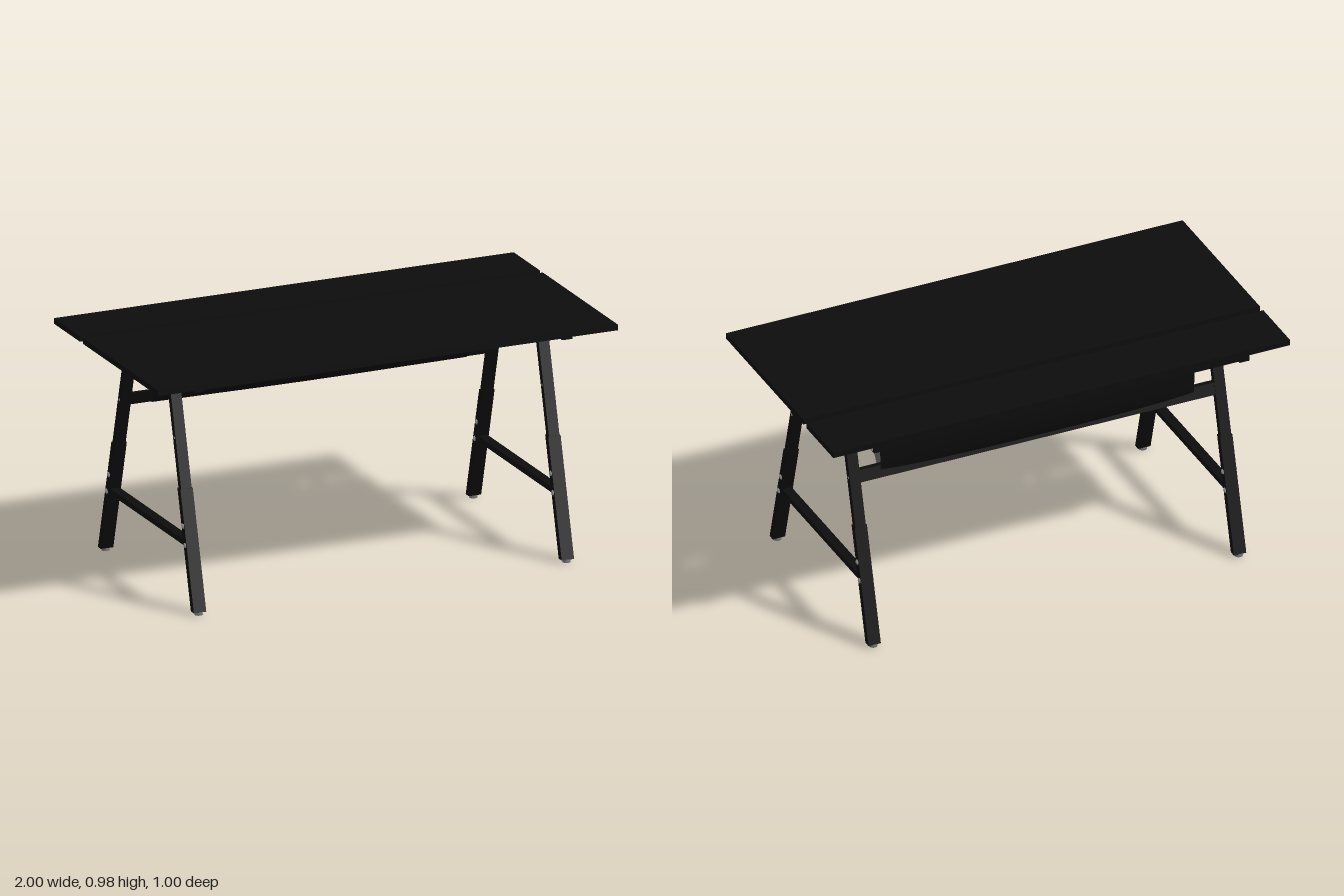
import * as THREE from 'three';

const black = new THREE.MeshStandardMaterial({ color: 0x0c0c0c });
black.name = 'black';
const fabric = new THREE.MeshStandardMaterial({ color: 0x0b0b0b, side: THREE.DoubleSide });
fabric.name = 'black fabric';
const steel = new THREE.MeshStandardMaterial({ color: 0xa0a0a0 });
steel.name = 'steel';
const footGrey = new THREE.MeshStandardMaterial({ color: 0x707070 });
footGrey.name = 'foot grey';

const SLOPE = 0.27; // outward lean of the legs
const legZ = (y) => 0.197 + (0.93 - y) * SLOPE;

export function createModel() {
  const model = new THREE.Group();
  model.name = 'trestleDesk';

  const add = (name, geometry, material, parent = model) => {
    const mesh = new THREE.Mesh(geometry, material);
    mesh.name = name;
    parent.add(mesh);
    return mesh;
  };

  // box given by its minimum and maximum on each axis
  const box = (name, x0, x1, y0, y1, z0, z1, parent) =>
    add(name, new THREE.BoxGeometry(x1 - x0, y1 - y0, z1 - z0)
      .translate((x0 + x1) / 2, (y0 + y1) / 2, (z0 + z1) / 2), black, parent);

  // upright box sheared along z to follow the lean of a leg
  const leaning = (name, x, y0, y1, width, depth, side, parent) => {
    const g = new THREE.BoxGeometry(width, y1 - y0, depth).translate(x, (y0 + y1) / 2, 0);
    const p = g.attributes.position;
    for (let i = 0; i < p.count; i++) p.setZ(i, p.getZ(i) + side * legZ(p.getY(i)));
    g.computeVertexNormals();
    return add(name, g, black, parent);
  };

  // shallow domed bolt head whose dome points along +y
  const boltProfile = [[0, 1], [0.5, 0.85], [0.85, 0.5], [1, 0]];
  const bolt = (name, radius, height, x, y, z, parent) => {
    const pts = boltProfile.map(([r, h]) => new THREE.Vector2(r * radius, h * height)).reverse();
    const m = add(name, new THREE.LatheGeometry(pts, 16), steel, parent);
    m.position.set(x, y, z);
    return m;
  };

  // two-part tabletop with a cable gap
  box('frontTabletop', -1, 1, 0.955, 0.978, -0.22, 0.5);
  box('backTabletop', -1, 1, 0.955, 0.978, -0.5, -0.25);

  // underframe
  box('frontRail', -0.78, 0.78, 0.937, 0.955, 0.415, 0.455);
  box('middleRail', -0.78, 0.78, 0.937, 0.955, -0.145, -0.115);
  box('backRail', -0.78, 0.78, 0.937, 0.955, -0.5, -0.46);
  for (const x of [-0.4, 0, 0.4]) {
    box('backBracket', x - 0.012, x + 0.012, 0.945, 0.955, -0.46, -0.25);
    bolt('railScrew', 0.008, 0.005, x, 0.937, 0.435).rotation.x = Math.PI;
    bolt('railScrew', 0.008, 0.005, x, 0.937, -0.48).rotation.x = Math.PI;
  }

  // trestles, one at each end
  for (const s of [-1, 1]) {
    const trestle = new THREE.Group();
    trestle.name = s > 0 ? 'leftTrestle' : 'rightTrestle';
    model.add(trestle);
    const x = s * 0.8;
    box('sideRail', x - 0.022, x + 0.022, 0.93, 0.955, -0.5, 0.455, trestle);
    box('crossbar', x - 0.02, x + 0.02, 0.262, 0.285, -0.37, 0.37, trestle);
    for (const z of [0.3, -0.02, -0.26, -0.48])
      bolt('undersideScrew', 0.009, 0.005, x, 0.93, z, trestle).rotation.x = Math.PI;

    for (const side of [-1, 1]) {
      leaning('upperLeg', x, 0.48, 0.935, 0.046, 0.026, side, trestle);
      leaning('lowerLeg', x, 0.012, 0.49, 0.054, 0.029, side, trestle);
      const foot = add('foot', new THREE.CylinderGeometry(0.015, 0.017, 0.013, 20), footGrey, trestle);
      foot.position.set(x, 0.0065, side * legZ(0.01));

      // bolt heads on both faces of the leg
      for (const face of [-1, 1]) {
        for (const y of [0.27, 0.345])
          bolt('legBolt', 0.011, 0.006, x + face * 0.027, y, side * legZ(y), trestle)
            .rotation.z = -face * Math.PI / 2;
        bolt('legScrew', 0.006, 0.002, x + face * 0.023, 0.685, side * legZ(0.685), trestle)
          .rotation.z = -face * Math.PI / 2;
      }
    }
    // bolts at the rail ends
    for (const z of [0.43, -0.48])
      bolt('railBolt', 0.01, 0.006, s * 0.822, 0.942, z, trestle).rotation.z = -s * Math.PI / 2;
  }

  // stretcher joining the back legs
  leaning('backStretcher', 0, 0.66, 0.71, 1.56, 0.02, -1);

  // fabric cable sling: the cross-section fills out from the ends to the middle
  const curve = (pts) => new THREE.CatmullRomCurve3(pts.map(([z, y]) => new THREE.Vector3(0, y, z)));
  const full = curve([[-0.135, 0.925], [-0.147, 0.807], [-0.183, 0.714], [-0.25, 0.658],
    [-0.285, 0.69], [-0.296, 0.8], [-0.282, 0.925]]);
  const slack = curve([[-0.135, 0.925], [-0.165, 0.845], [-0.205, 0.76], [-0.258, 0.658],
    [-0.271, 0.69], [-0.272, 0.8], [-0.282, 0.925]]);
  const sling = new THREE.PlaneGeometry(2, 1, 24, 36);
  const p = sling.attributes.position;
  for (let i = 0; i < p.count; i++) {
    const u = p.getX(i);
    const t = p.getY(i) + 0.5;
    const v = full.getPoint(t).lerp(slack.getPoint(t), u * u);
    const halfWidth = 0.685 + 0.02 * Math.pow((v.y - 0.655) / 0.27, 2);
    p.setXYZ(i, u * halfWidth, v.y, v.z);
  }
  sling.computeVertexNormals();
  add('cableSling', sling, fabric);

  // hooks carrying both edges of the sling
  for (const x of [-0.7, -0.4, 0, 0.4, 0.7]) {
    for (const z of [-0.135, -0.282]) {
      const hook = add('slingHook', new THREE.CylinderGeometry(0.006, 0.006, 0.04, 10), black);
      hook.position.set(x, 0.935, z);
      const knob = add('hookKnob', new THREE.SphereGeometry(0.009, 12, 8), black);
      knob.position.set(x, 0.918, z);
    }
  }

  return model;
}
